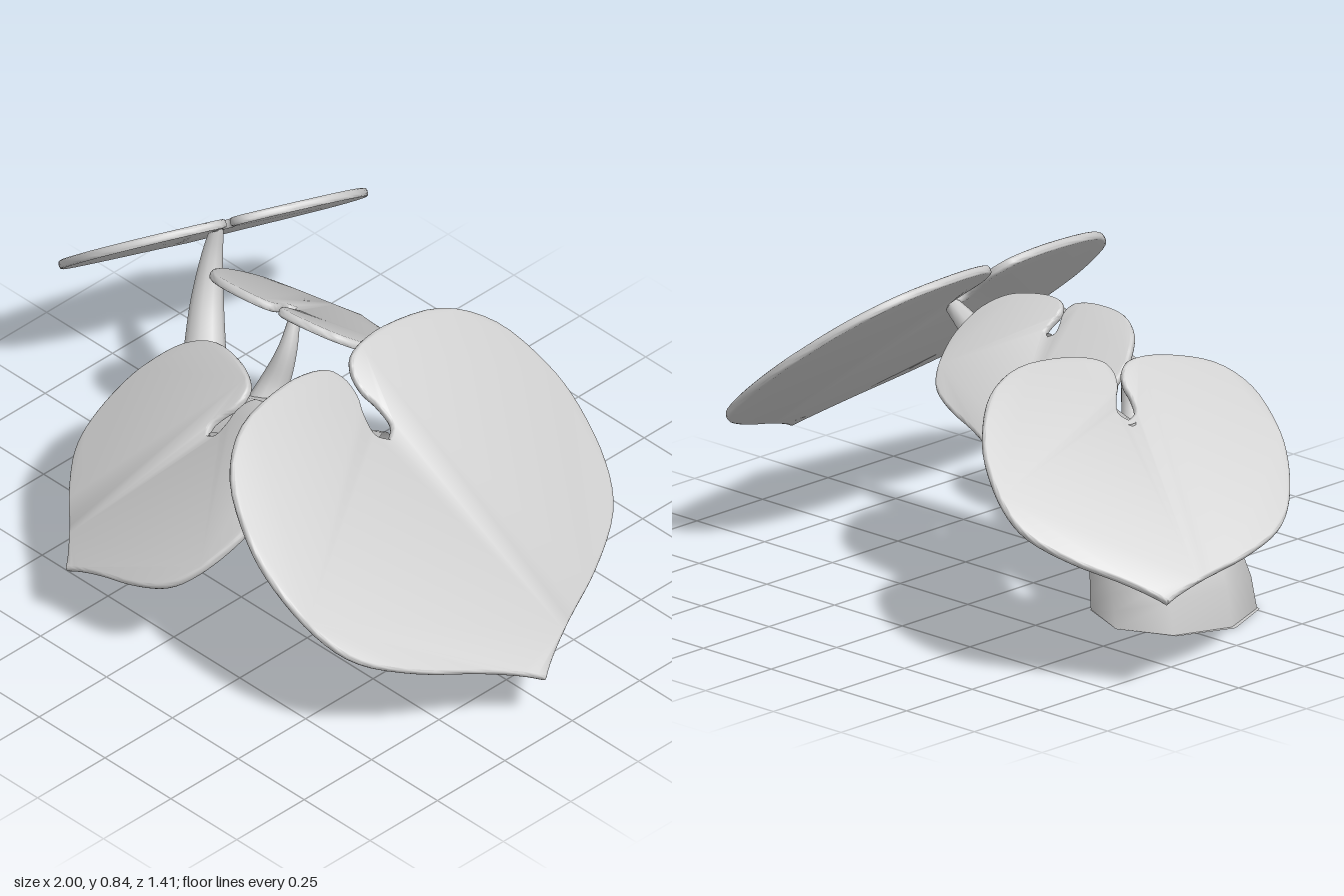
import * as THREE from 'three';
import { toCreasedNormals } from 'three/addons/utils/BufferGeometryUtils.js';

const material = new THREE.MeshStandardMaterial({ color: 0xcccccc, side: THREE.DoubleSide });
const vec = (p) => new THREE.Vector3(...p);

// Half of the heart outline: [across 0..1, along 0 (lobes)..1 (tip)], from notch to tip
const NOTCH = 0.26;
const HALF = [
  [0, NOTCH], [0.055, 0.23], [0.045, 0.17], [0.018, 0.12], [0.03, 0.06], [0.11, 0.015],
  [0.33, 0], [0.65, 0.035], [0.87, 0.14], [0.98, 0.3], [1, 0.44], [0.95, 0.6],
  [0.83, 0.72], [0.58, 0.82], [0.29, 0.9], [0.1, 0.96], [0, 1],
];

// Heart-shaped blade laid out from its notch to its tip, with "across" giving the width direction
function leaf(name, notch, tip, across, halfWidth) {
  const start = vec(notch);
  const axis = vec(tip).sub(start);
  const length = axis.length() / (1 - NOTCH);
  axis.normalize();

  const curve = new THREE.SplineCurve(
    HALF.map(([v, s]) => new THREE.Vector2(v * halfWidth, (NOTCH - s) * length)));
  const side = curve.getPoints(64);
  const mirrored = side.slice(1, -1).reverse().map((p) => new THREE.Vector2(-p.x, p.y));
  const rim = 0.007;
  const extruded = new THREE.ExtrudeGeometry(new THREE.Shape([...side, ...mirrored]), {
    depth: 0.008, bevelThickness: 0.008, bevelSize: rim, bevelOffset: -rim, bevelSegments: 2,
  });
  extruded.translate(0, 0, -0.004);

  const up = axis.clone().negate();
  const w = vec(across).addScaledVector(axis, -vec(across).dot(axis)).normalize();
  const frame = new THREE.Matrix4().makeBasis(w, up, w.clone().cross(up)).setPosition(start);
  extruded.applyMatrix4(frame);
  const mesh = new THREE.Mesh(toCreasedNormals(extruded, 0.9), material);
  mesh.name = name;
  return mesh;
}

// Tapering stalk: each entry is [x, y, z, radius]
function stalk(name, points, sides, flatBase = false) {
  const curve = new THREE.CatmullRomCurve3(points.map((p) => vec(p)));
  const radii = new THREE.CatmullRomCurve3(points.map((p) => new THREE.Vector3(p[0], p[1], p[3])));
  const rings = 24;
  const geometry = new THREE.TubeGeometry(curve, rings, 1, sides);
  const pos = geometry.attributes.position;
  const p = new THREE.Vector3();
  for (let i = 0; i <= rings; i++) {
    const u = i / rings;
    const centre = curve.getPointAt(u);
    const radius = radii.getPoint(curve.getUtoTmapping(u)).z;
    for (let j = 0; j <= sides; j++) {
      const k = i * (sides + 1) + j;
      p.fromBufferAttribute(pos, k).sub(centre).multiplyScalar(radius).add(centre);
      // Keep the foot level on the ground
      if (flatBase) p.y = i === 0 ? 0 : Math.max(p.y, 0.004 * i);
      pos.setXYZ(k, p.x, p.y, p.z);
    }
  }
  // Restore smooth normals across the tube seam
  geometry.computeVertexNormals();
  const normal = geometry.attributes.normal;
  const a = new THREE.Vector3();
  const b = new THREE.Vector3();
  for (let i = 0; i <= rings; i++) {
    const k = i * (sides + 1);
    a.fromBufferAttribute(normal, k).add(b.fromBufferAttribute(normal, k + sides)).normalize();
    normal.setXYZ(k, a.x, a.y, a.z);
    normal.setXYZ(k + sides, a.x, a.y, a.z);
  }
  const mesh = new THREE.Mesh(geometry, material);
  mesh.name = name;
  return mesh;
}

export function createModel() {
  const plant = new THREE.Group();
  plant.name = 'plant';

  // Thick main stem leaning over to the largest leaf
  plant.add(stalk('mainStem', [
    [-0.425, 0, 0.1, 0.225], [-0.375, 0.14, 0.1, 0.2], [-0.27, 0.29, 0.1, 0.155],
    [-0.1, 0.42, 0.1, 0.1], [0.12, 0.525, 0.1, 0.066], [0.28, 0.59, 0.1, 0.042],
    [0.395, 0.66, 0.1, 0.022],
  ], 8, true));
  const base = new THREE.Mesh(new THREE.CircleGeometry(0.225, 8), material);
  base.name = 'stemBase';
  base.rotation.x = Math.PI / 2;
  base.position.set(-0.425, 0.001, 0.1);
  plant.add(base);

  // Side stalks
  plant.add(stalk('rightStalk', [
    [-0.42, 0.17, 0, 0.075], [-0.51, 0.3, -0.11, 0.06], [-0.58, 0.43, -0.19, 0.045],
    [-0.605, 0.56, -0.235, 0.028], [-0.6, 0.65, -0.25, 0.016],
  ], 10));
  plant.add(stalk('backStalk', [
    [-0.13, 0.42, 0.08, 0.05], [-0.12, 0.52, 0.01, 0.04],
    [-0.1, 0.63, -0.02, 0.026], [-0.11, 0.73, -0.06, 0.013],
  ], 10));
  plant.add(stalk('frontStalk', [
    [-0.22, 0.3, 0.15, 0.06], [-0.12, 0.33, 0.27, 0.048],
    [-0.05, 0.43, 0.33, 0.034], [-0.03, 0.56, 0.32, 0.015],
  ], 10));

  // Leaves
  plant.add(leaf('largeLeaf', [0.405, 0.665, 0.1], [1, 0.19, 0.1], [0, 0, 1], 0.565));
  plant.add(leaf('frontLeaf', [-0.045, 0.55, 0.325], [-0.2, 0.22, 0.7], [0.916, -0.01, 0.4], 0.385));
  plant.add(leaf('rightLeaf', [-0.59, 0.65, -0.25], [-0.96, 0.28, -0.48], [0.01, -0.15, -0.46], 0.42));
  plant.add(leaf('backLeaf', [-0.115, 0.725, -0.06], [-0.17, 0.51, -0.36], [0.55, 0, -0.06], 0.28));
  return plant;
}
